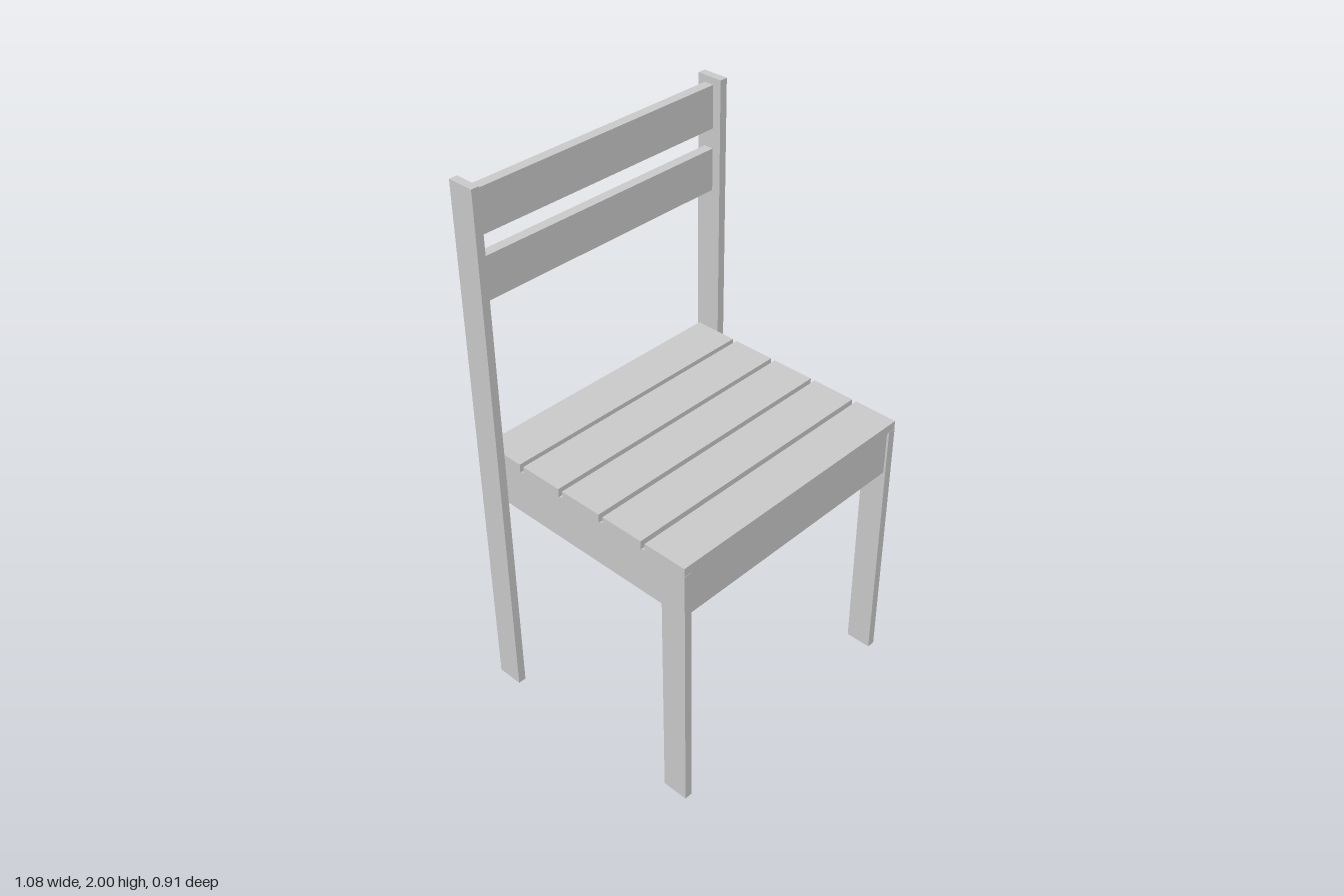
import * as THREE from 'three';

export function createModel() {
  const chair = new THREE.Group();
  chair.name = 'chair';
  const wood = new THREE.MeshStandardMaterial({ color: 0xcccccc, flatShading: true });

  // A board given by its extents along each axis
  const board = (name, [x0, x1], [y0, y1], [z0, z1]) => {
    const mesh = new THREE.Mesh(new THREE.BoxGeometry(x1 - x0, y1 - y0, z1 - z0), wood);
    mesh.position.set((x0 + x1) / 2, (y0 + y1) / 2, (z0 + z1) / 2);
    mesh.name = name;
    chair.add(mesh);
  };
  const mirrored = (side, [a, b]) => (side > 0 ? [a, b] : [-b, -a]);

  const seatY = 0.998, apronY = 0.825, halfWidth = 0.512;

  // Legs, back posts and side rails
  for (const [side, label] of [[1, 'left'], [-1, 'right']]) {
    board(`${label}FrontLeg`, mirrored(side, [0.482, halfWidth]), [0, seatY], [0.355, 0.453]);
    board(`${label}BackPost`, mirrored(side, [halfWidth, 0.542]), [0, 2], [-0.456, -0.357]);
    board(`${label}SideRail`, mirrored(side, [0.472, 0.508]), [apronY, seatY], [-0.412, 0.412]);
  }

  // Front and back aprons
  board('frontApron', [-0.482, 0.482], [apronY, seatY], [0.41, 0.445]);
  board('backApron', [-halfWidth, halfWidth], [apronY, seatY], [-0.447, -0.412]);

  // Five seat slats with narrow gaps
  for (let i = 0; i < 5; i++) {
    const z = 0.002 + (i - 2) * 0.1835;
    board(`seatSlat${i + 1}`, [-halfWidth, halfWidth], [seatY, 1.03], [z - 0.083, z + 0.083]);
  }

  // Two backrest slats
  board('lowerBackSlat', [-halfWidth, halfWidth], [1.592, 1.747], [-0.427, -0.39]);
  board('upperBackSlat', [-halfWidth, halfWidth], [1.82, 1.975], [-0.427, -0.39]);

  return chair;
}
